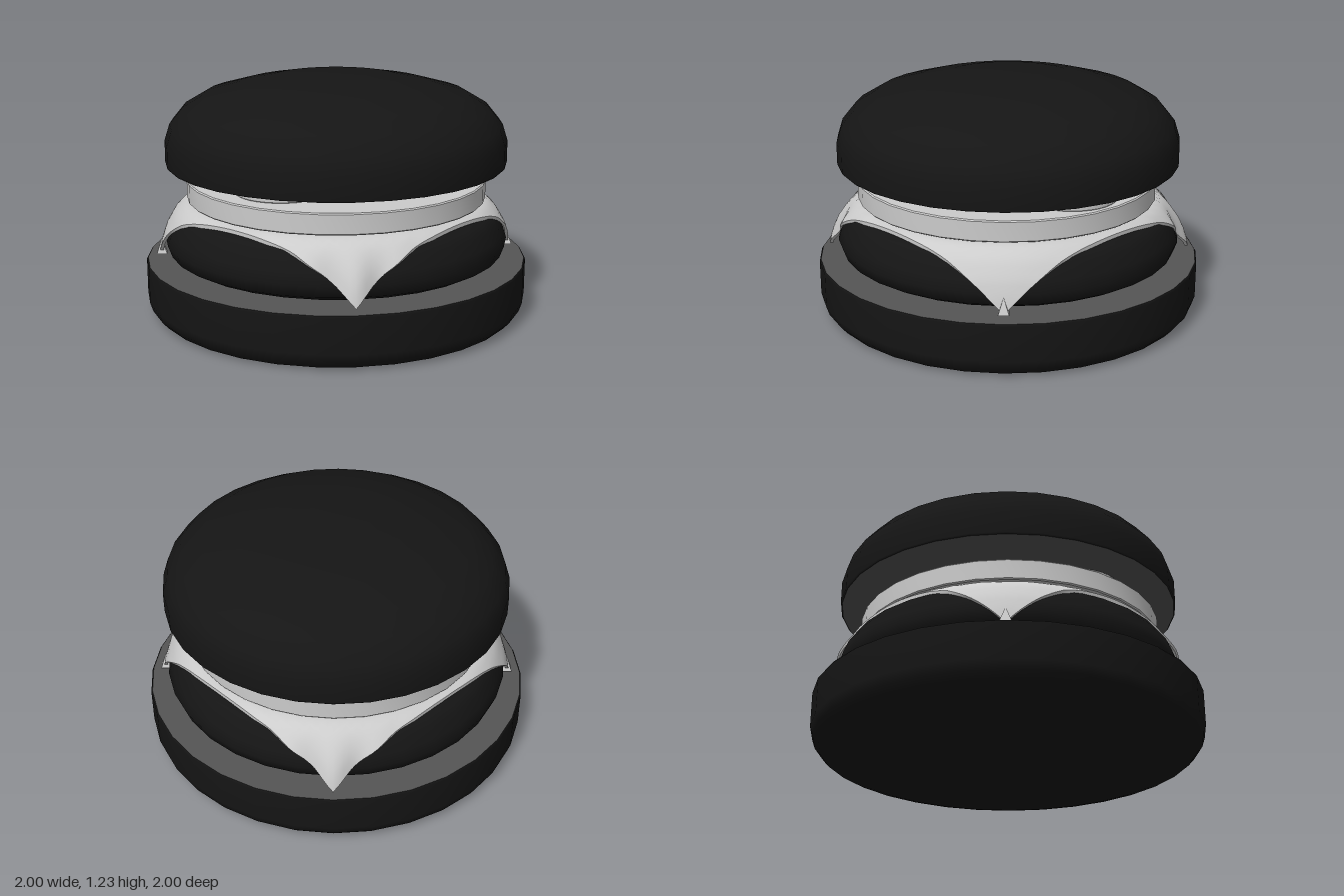
import * as THREE from 'three';
import { toCreasedNormals } from 'three/addons/utils/BufferGeometryUtils.js';

const SIDES = 32;
const grey = new THREE.MeshStandardMaterial({ color: 0xcccccc });
const crust = new THREE.MeshStandardMaterial({ color: 0x151515 });
const crumb = new THREE.MeshStandardMaterial({ color: 0x555555 });

function add(parent, name, geometry, material, x = 0, y = 0, z = 0) {
  const mesh = new THREE.Mesh(geometry, material);
  mesh.name = name;
  mesh.position.set(x, y, z);
  parent.add(mesh);
  return mesh;
}

// Profile of [radius, height] pairs, listed from the bottom up
function turned(profile) {
  return new THREE.LatheGeometry(profile.map(([r, y]) => new THREE.Vector2(r, y)), SIDES);
}

// Slice with a small bevel and sharp rims
function slice(radius, height) {
  const b = 0.006;
  return toCreasedNormals(turned([
    [0, 0], [radius - b, 0], [radius, b], [radius, height - b], [radius - b, height], [0, height],
  ]), 0.6);
}

// Flat distance from the centre of the cheese -> [distance, radius, height]
const DRAPE = [
  [0, 0, 0.592], [0.75, 0.75, 0.592], [0.8, 0.793, 0.58], [0.85, 0.825, 0.553],
  [0.89, 0.85, 0.527], [0.97, 0.893, 0.452], [1.05, 0.918, 0.375], [1.14, 0.935, 0.29],
];

function drape(d) {
  let i = 1;
  while (i < DRAPE.length - 1 && d > DRAPE[i][0]) i++;
  const [d0, r0, y0] = DRAPE[i - 1];
  const [d1, r1, y1] = DRAPE[i];
  const t = (d - d0) / (d1 - d0);
  return [r0 + (r1 - r0) * t, y0 + (y1 - y0) * t];
}

// Square sheet laid over the patty, its corners hanging down
function cheeseGeometry() {
  const geometry = new THREE.BoxGeometry(1.6, 0.02, 1.6, 40, 1, 40);
  const p = geometry.attributes.position;
  for (let i = 0; i < p.count; i++) {
    const x = p.getX(i), z = p.getZ(i);
    const under = p.getY(i) < 0;
    const d = Math.hypot(x, z);
    let [r, y] = drape(d);
    const hang = THREE.MathUtils.smoothstep(d, 0.8, 1.1);
    const angle = Math.atan2(z, x);
    // Two opposite corners are slightly rumpled
    if (x * z < 0) r += 0.025 * hang * Math.cos(angle * 24);
    if (under) {
      r -= 0.018 * hang;
      y -= 0.02 * (1 - hang);
    }
    p.setXYZ(i, r * Math.cos(angle), y, r * Math.sin(angle));
  }
  geometry.computeVertexNormals();
  return geometry;
}

export function createModel() {
  const model = new THREE.Group();
  model.name = 'burger';

  // Bottom bun with its cut face
  const bottomBun = new THREE.Group();
  bottomBun.name = 'bottomBun';
  add(bottomBun, 'bottomBunCrust', turned([
    [0, 0], [0.91, 0], [0.955, 0.012], [0.985, 0.045], [1, 0.09], [1, 0.27], [0.993, 0.28],
  ]), crust);
  add(bottomBun, 'bottomBunCut', new THREE.CircleGeometry(0.993, SIDES), crumb, 0, 0.28)
    .rotation.x = -Math.PI / 2;
  model.add(bottomBun);

  // Patty
  add(model, 'patty', turned([
    [0, 0.3], [0.83, 0.3], [0.875, 0.325], [0.897, 0.385], [0.88, 0.44], [0.855, 0.5],
    [0.825, 0.54], [0.77, 0.562], [0.7, 0.566], [0, 0.566],
  ]), crust);

  // Cheese sheet and the curled tips of its two smooth corners
  const cheese = new THREE.Group();
  cheese.name = 'cheese';
  add(cheese, 'cheeseSheet', cheeseGeometry(), grey);
  for (const s of [1, -1]) {
    const tip = toCreasedNormals(new THREE.ConeGeometry(0.038, 0.08, 4), 0.5);
    add(cheese, 'cheeseTip', tip, grey, 0.65 * s, 0.342, 0.65 * s);
  }
  model.add(cheese);

  // Tomato slice
  add(model, 'tomato', slice(0.78, 0.108), grey, -0.005, 0.6, 0.005);

  // Pickle slices
  for (const [x, z] of [[-0.053, 0.357], [0.507, 0.06], [0.05, -0.33], [-0.455, 0.03]]) {
    add(model, 'pickle', slice(0.238, 0.08), grey, x, 0.706, z);
  }

  // Top bun with its cut face
  const topBun = new THREE.Group();
  topBun.name = 'topBun';
  add(topBun, 'topBunCrust', turned([
    [0.88, 0.785], [0.887, 0.793], [0.887, 0.905], [0.86, 0.99], [0.79, 1.075], [0.68, 1.14],
    [0.5, 1.19], [0.34, 1.22], [0.17, 1.228], [0, 1.228],
  ]), crust);
  add(topBun, 'topBunCut', new THREE.CircleGeometry(0.88, SIDES), crumb, 0, 0.785)
    .rotation.x = Math.PI / 2;
  model.add(topBun);

  return model;
}
